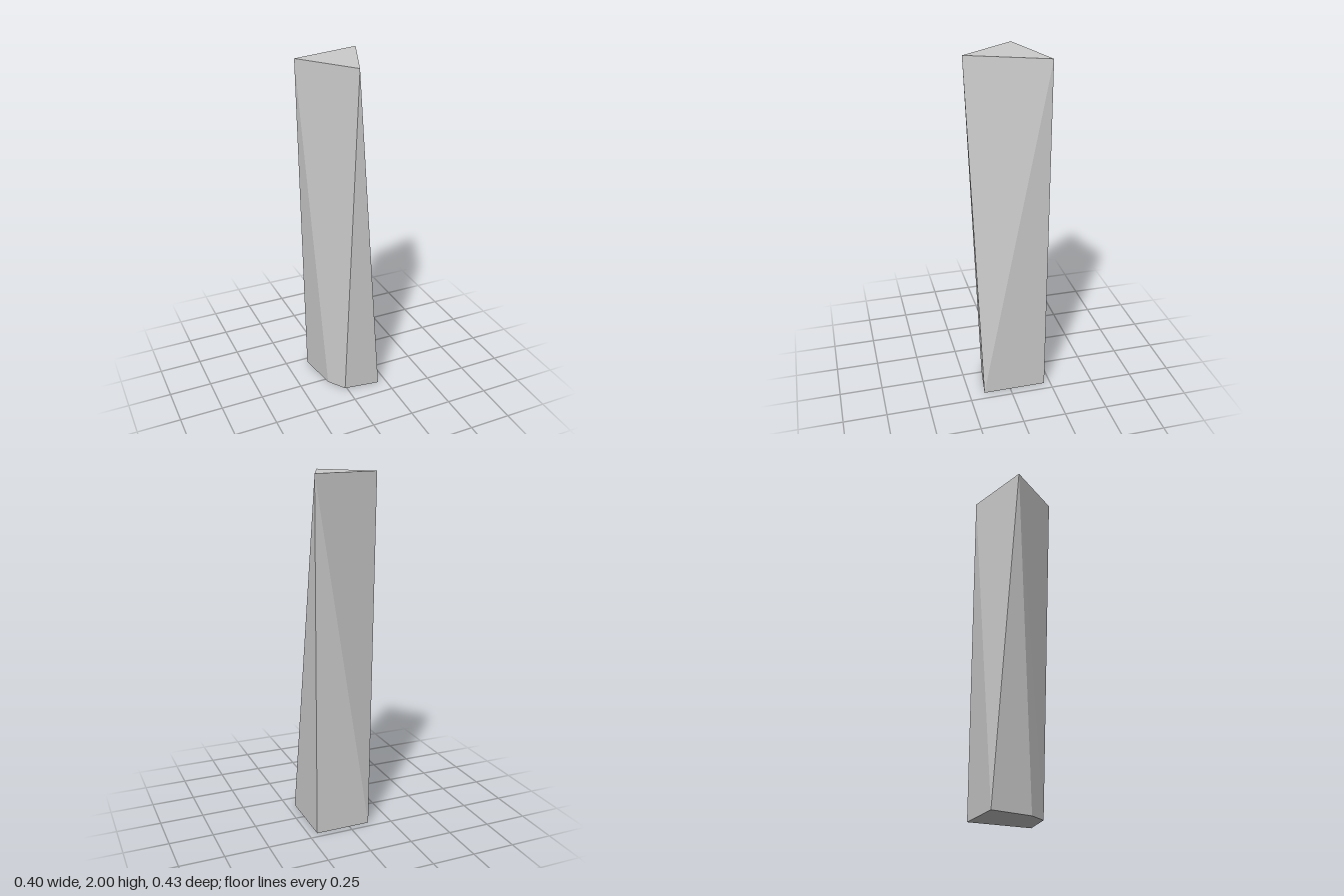
import * as THREE from 'three';
import { ConvexGeometry } from 'three/addons/geometries/ConvexGeometry.js';

// Faceted post: a triangular top joined to a five-sided base by flat facets
const HEIGHT = 2;
const topOutline = [[-0.2, -0.1], [0.2, -0.213], [0.022, 0.213]];
const baseOutline = [[-0.12, -0.213], [0.2, -0.213], [0.2, 0.16], [-0.01, 0.13], [-0.08, 0.03]];

// Place an [x, z] outline at a given height
const ring = (outline, y) => outline.map(([x, z]) => new THREE.Vector3(x, y, z));

export function createModel() {
  const group = new THREE.Group();
  group.name = 'facetedPost';

  // Convex shard spanning both outlines
  const geometry = new ConvexGeometry([...ring(baseOutline, 0), ...ring(topOutline, HEIGHT)]);
  const material = new THREE.MeshStandardMaterial({ color: 0xcccccc, flatShading: true });
  const post = new THREE.Mesh(geometry, material);
  post.name = 'post';
  group.add(post);

  return group;
}
